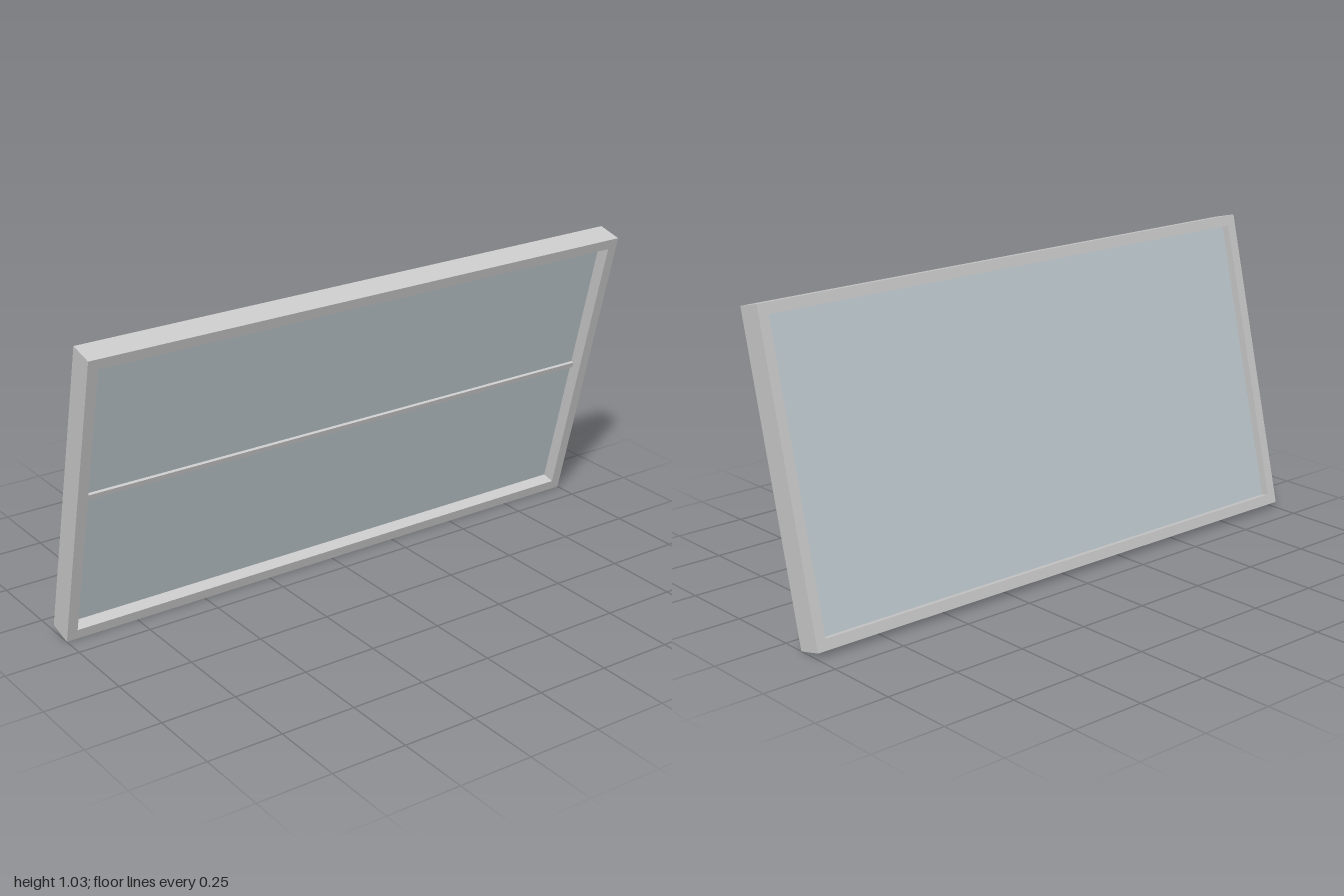
import * as THREE from 'three';

const LENGTH = 2, HEIGHT = 1.035, DEPTH = 0.0875, RIM = 0.035, TILT = 0.239;

function rectangle(Type, w, h) {
  const r = new Type();
  r.moveTo(-w / 2, -h / 2);
  r.lineTo(w / 2, -h / 2);
  r.lineTo(w / 2, h / 2);
  r.lineTo(-w / 2, h / 2);
  r.closePath();
  return r;
}

function addPart(parent, name, geometry, color, x = 0) {
  const mesh = new THREE.Mesh(geometry, new THREE.MeshStandardMaterial({ color }));
  mesh.name = name;
  mesh.position.x = x;
  parent.add(mesh);
}

export function createModel() {
  const model = new THREE.Group();
  model.name = 'tiltedWindow';
  const window = new THREE.Group();
  window.name = 'windowSash';
  const innerLength = LENGTH - 2 * RIM, innerHeight = HEIGHT - 2 * RIM;

  // Outer frame: rectangle with an opening, extruded through its depth along x
  const outline = rectangle(THREE.Shape, LENGTH, HEIGHT);
  outline.holes.push(rectangle(THREE.Path, innerLength, innerHeight));
  const frame = new THREE.ExtrudeGeometry(outline, { depth: DEPTH, bevelEnabled: false });
  frame.translate(0, 0, -DEPTH / 2).rotateY(Math.PI / 2);
  addPart(window, 'frame', frame, 0xcccccc);

  // Pane recessed from both faces
  addPart(window, 'pane', new THREE.BoxGeometry(0.015, innerHeight, innerLength), 0xc1ccd2, -0.0085);

  // Slim horizontal bar on the +x face of the pane
  addPart(window, 'glazingBar', new THREE.BoxGeometry(0.012, 0.0175, innerLength), 0xcccccc, 0.004);

  // Lean towards +x, with the lowest edge on the ground
  window.rotation.z = -TILT;
  window.position.y = (HEIGHT * Math.cos(TILT) + DEPTH * Math.sin(TILT)) / 2;
  model.add(window);
  return model;
}
